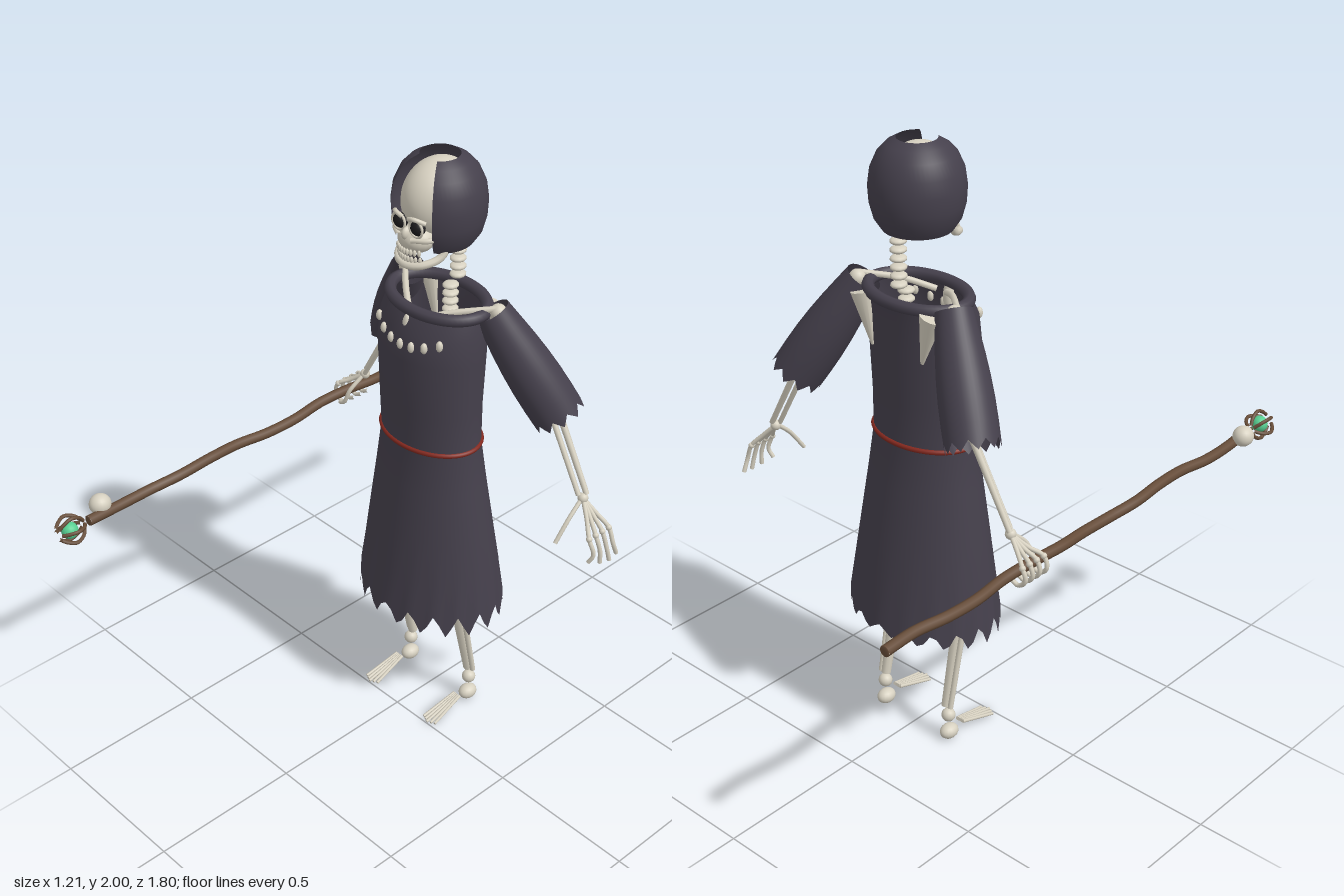
import * as THREE from 'three';

const mat = (color, side = THREE.FrontSide) => new THREE.MeshStandardMaterial({ color, side });
const V = (x, y, z) => new THREE.Vector3(x, y, z);

export function createModel() {
  const model = new THREE.Group();
  const bone = mat(0xd6d0c0), cloth = mat(0x45404c, THREE.DoubleSide), dark = mat(0x1c1b1d);
  const wood = mat(0x664c38), red = mat(0x84291f), green = mat(0x58cf92);

  const add = (name, geometry, material = bone, parent = model) => {
    const mesh = new THREE.Mesh(geometry, material);
    mesh.name = name;
    parent.add(mesh);
    return mesh;
  };
  const group = (name) => {
    const g = new THREE.Group();
    g.name = name;
    model.add(g);
    return g;
  };
  const ball = (name, p, rx, ry = rx, rz = rx, material = bone, parent = model, n = 16) => {
    const m = add(name, new THREE.SphereGeometry(1, n, Math.ceil(n * 0.75)), material, parent);
    m.position.copy(p);
    m.scale.set(rx, ry, rz);
    return m;
  };
  // Straight tapered rod from a to b; open rods are used for sleeves
  const rod = (name, a, b, ra, rb, material = bone, parent = model, n = 10) => {
    const d = b.clone().sub(a);
    const m = add(name, new THREE.CylinderGeometry(rb, ra, d.length(), n), material, parent);
    m.position.copy(a).addScaledVector(d, 0.5);
    m.quaternion.setFromUnitVectors(V(0, 1, 0), d.normalize());
    return m;
  };
  const tube = (name, pts, r, material = bone, parent = model, closed = false, segs = 20) =>
    add(name, new THREE.TubeGeometry(new THREE.CatmullRomCurve3(pts, closed), segs, r, 8, closed), material, parent);
  const ellipse = (y, rx, rz, cz, n = 32) =>
    Array.from({ length: n }, (_, i) => V(rx * Math.sin(i / n * 2 * Math.PI), y, cz + rz * Math.cos(i / n * 2 * Math.PI)));
  const tri = (t) => Math.abs(2 * (t - Math.floor(t)) - 1);

  // Robe: elliptical rings [y, rx, rz, cz] with a torn hem
  const rings = [[0.45, 0.265, 0.207, -0.155], [0.6, 0.247, 0.187, -0.153], [0.75, 0.226, 0.166, -0.15],
    [0.92, 0.2, 0.145, -0.147], [1.06, 0.18, 0.13, -0.145], [1.2, 0.181, 0.135, -0.142],
    [1.38, 0.19, 0.139, -0.143], [1.47, 0.188, 0.133, -0.15], [1.53, 0.178, 0.122, -0.168]];
  const N = 72, pos = [], idx = [];
  rings.forEach(([y, rx, rz, cz], j) => {
    for (let i = 0; i < N; i++) {
      const a = i / N * 2 * Math.PI;
      const hem = j ? 0 : 0.055 * tri(i / 4) - 0.033 + 0.012 * Math.sin(i * 1.7);
      pos.push(rx * Math.sin(a), y + hem, cz + rz * Math.cos(a));
      if (j) {
        const k = (i + 1) % N, lo = (j - 1) * N, hi = j * N;
        idx.push(lo + i, lo + k, hi + k, lo + i, hi + k, hi + i);
      }
    }
  });
  const robe = new THREE.BufferGeometry();
  robe.setAttribute('position', new THREE.Float32BufferAttribute(pos, 3));
  robe.setIndex(idx);
  robe.computeVertexNormals();
  add('robe', robe, cloth);
  tube('collar', ellipse(1.53, 0.172, 0.117, -0.17), 0.019, cloth, model, true, 64);
  tube('belt', ellipse(1.067, 0.18, 0.13, -0.145), 0.008, red, model, true, 64);

  // Hood: a lathed shell, open at the front and crown
  const gap = 0.64;
  const hoodProfile = [[0.105, 1.73], [0.128, 1.765], [0.14, 1.81], [0.143, 1.86], [0.136, 1.91], [0.116, 1.955], [0.09, 1.983], [0.06, 2]];
  const hood = add('hood', new THREE.LatheGeometry(hoodProfile.map(([x, y]) => new THREE.Vector2(x, y)), 48, gap, 2 * Math.PI - 2 * gap), cloth);
  hood.position.z = -0.168;

  // Skull
  const skull = group('skull');
  ball('cranium', V(0, 1.862, -0.165), 0.1, 0.124, 0.122, bone, skull, 32);
  ball('upperJaw', V(0, 1.765, -0.075), 0.06, 0.045, 0.052, bone, skull, 20);
  ball('nose', V(0, 1.79, -0.035), 0.012, 0.02, 0.018, bone, skull);
  tube('lowerJaw', [V(-0.082, 1.775, -0.13), V(-0.078, 1.718, -0.1), V(-0.046, 1.697, -0.045), V(0, 1.692, -0.028),
    V(0.046, 1.697, -0.045), V(0.078, 1.718, -0.1), V(0.082, 1.775, -0.13)], 0.012, bone, skull, false, 32);
  for (let i = -4; i <= 4; i++) {
    const x = i * 0.011, z = -0.026 - 9 * x * x;
    ball('upperTooth', V(x, 1.736, z), 0.0055, 0.011, 0.006, bone, skull, 8);
    ball('lowerTooth', V(x, 1.712, z - 0.004), 0.0055, 0.011, 0.006, bone, skull, 8);
  }
  for (const s of [-1, 1]) {
    ball('eyeSocket', V(s * 0.036, 1.815, -0.046), 0.025, 0.023, 0.02, dark, skull);
    const rim = add('eyeRim', new THREE.TorusGeometry(0.026, 0.004, 8, 24), bone, skull);
    rim.position.set(s * 0.036, 1.815, -0.038);
    tube('brow', [V(s * 0.012, 1.84, -0.03), V(s * 0.035, 1.848, -0.028), V(s * 0.064, 1.836, -0.05)], 0.007, bone, skull);
    tube('cheekbone', [V(s * 0.088, 1.79, -0.13), V(s * 0.072, 1.782, -0.06), V(s * 0.025, 1.778, -0.028)], 0.008, bone, skull);
  }

  // Spine, breastbone and the row of bone beads
  for (let i = 0; i < 29; i++) {
    const y = 1.712 - i * 0.027;
    ball('vertebra', V(0, y, y > 1.55 ? -0.25 : -0.22), 0.025, 0.0115, 0.027, bone, model, 12);
  }
  ball('breastbone', V(0, 1.47, -0.04), 0.018, 0.05, 0.016);
  for (let i = -3; i <= 3; i++) {
    const x = i * 0.043;
    ball('chestBead', V(x, 1.43 + 1.8 * x * x, -0.148 + 0.137 * Math.sqrt(1 - (x / 0.19) ** 2)), 0.011, 0.018, 0.011, bone, model, 12);
  }
  ball('pelvis', V(0, 0.95, -0.16), 0.11, 0.05, 0.06);

  for (const s of [-1, 1]) {
    const P = (x, y, z) => V(s * x, y, z);
    // Shoulder bones
    tube('collarbone', [P(0.02, 1.5, -0.07), P(0.1, 1.53, -0.13), P(0.2, 1.55, -0.22)], 0.01);
    const blade = rod('shoulderBlade', P(0.1, 1.36, -0.262), P(0.14, 1.52, -0.265), 0.006, 0.04, bone, model, 12);
    blade.scale.z = 0.7;
    ball('shoulder', P(0.195, 1.535, -0.225), 0.026);

    // Sleeve with a torn cuff
    const sleeve = rod('sleeve', P(0.36, 1.21, -0.33), P(0.18, 1.537, -0.213), 0.082, 0.056, cloth);
    sleeve.geometry.dispose();
    sleeve.geometry = new THREE.CylinderGeometry(0.056, 0.082, 0.391, 40, 6, true);
    const sp = sleeve.geometry.attributes.position;
    for (let i = 0; i < sp.count; i++) {
      const t = 0.5 - sp.getY(i) / 0.391;
      const swell = 1 + 0.14 * Math.sin(Math.PI * t);
      sp.setX(i, sp.getX(i) * swell);
      sp.setZ(i, sp.getZ(i) * swell);
      if (t > 0.99) sp.setY(i, sp.getY(i) + 0.03 * tri((i % 41) / 4) - 0.015);
    }
    sleeve.geometry.computeVertexNormals();
    sleeve.name = 'sleeve';

    // Arm
    rod('upperArm', P(0.195, 1.53, -0.225), P(0.345, 1.245, -0.32), 0.015, 0.015);
    ball('elbow', P(0.347, 1.24, -0.32), 0.022);
    rod('forearmOuter', P(0.355, 1.235, -0.328), P(0.497, 0.982, -0.325), 0.011, 0.009);
    rod('forearmInner', P(0.338, 1.235, -0.308), P(0.482, 0.98, -0.305), 0.009, 0.008);
    ball('wrist', P(0.492, 0.97, -0.315), 0.017);

    // Leg: thigh, knee, paired shin bones, ankle, heel and toes
    rod('thigh', P(0.09, 0.94, -0.155), P(0.14, 0.52, -0.125), 0.02, 0.02);
    ball('knee', P(0.141, 0.5, -0.125), 0.032);
    rod('shin', P(0.135, 0.5, -0.127), P(0.135, 0.13, -0.203), 0.023, 0.016);
    rod('calfBone', P(0.16, 0.48, -0.135), P(0.155, 0.13, -0.205), 0.01, 0.009);
    ball('ankle', P(0.142, 0.095, -0.2), 0.023);
    ball('heel', P(0.142, 0.03, -0.197), 0.027, 0.025, 0.034);
    for (let i = -2; i <= 2; i++)
      rod('toe', P(0.142 + i * 0.006, 0.044, -0.145), P(0.142 + i * 0.013, 0.01, -0.002 - Math.abs(i) * 0.006), 0.006, 0.005, bone, model, 8);
  }

  // Open left hand
  const openHand = group('leftHand');
  for (let i = 0; i < 4; i++) {
    const z = -0.352 + i * 0.03, reach = [0.005, 0, 0.006, 0.02][i];
    tube('finger', [V(0.492, 0.97, -0.315), V(0.535, 0.925, (z - 0.315) / 2), V(0.572, 0.882, z),
      V(0.59, 0.83, z - 0.004), V(0.598 - reach, 0.78 + reach, -0.372 + i * 0.038)], 0.007, bone, openHand);
    ball('knuckle', V(0.572, 0.882, z), 0.01, 0.01, 0.01, bone, openHand, 10);
  }
  tube('thumb', [V(0.492, 0.97, -0.31), V(0.492, 0.92, -0.255), V(0.486, 0.85, -0.205)], 0.007, bone, openHand);

  // Right hand gripping the staff
  const grip = group('rightHand');
  for (let i = 0; i < 4; i++) {
    const z = -0.362 + i * 0.031;
    tube('finger', [V(-0.492, 0.97, -0.315), V(-0.54, 0.935, (z - 0.315) / 2), V(-0.578, 0.912, z),
      V(-0.59, 0.875, z), V(-0.563, 0.85, z), V(-0.53, 0.864, z)], 0.007, bone, grip, false, 28);
    ball('knuckle', V(-0.578, 0.912, z), 0.01, 0.01, 0.01, bone, grip, 10);
  }
  tube('thumb', [V(-0.492, 0.97, -0.31), V(-0.508, 0.92, -0.26), V(-0.527, 0.87, -0.25), V(-0.55, 0.858, -0.25)], 0.007, bone, grip);

  // Staff: slightly crooked shaft, round ornament, claws and crystal
  const staff = group('staff');
  const shaft = Array.from({ length: 15 }, (_, i) =>
    V(-0.552 + 0.006 * Math.sin(i * 1.9), 0.885 + 0.006 * Math.sin(i * 1.3 + 1), -0.89 + i * 1.683 / 14));
  tube('shaft', shaft, 0.017, wood, staff, false, 70);
  for (const end of [shaft[0], shaft[14]]) ball('shaftEnd', end, 0.017, 0.017, 0.003, wood, staff);
  ball('ornament', V(-0.575, 0.903, 0.727), 0.034, 0.034, 0.036, bone, staff, 20);
  ball('crystal', V(-0.548, 0.885, 0.862), 0.027, 0.027, 0.027, green, staff, 16);
  for (let i = 0; i < 6; i++) {
    const a = i / 6 * 2 * Math.PI + 0.3;
    const C = (r, z) => V(-0.55 + r * Math.cos(a), 0.885 + r * Math.sin(a), z);
    tube('claw', [C(0.012, 0.812), C(0.034, 0.828), C(0.046, 0.858), C(0.034, 0.885), C(0.02, 0.9)], 0.006, wood, staff);
  }
  return model;
}
